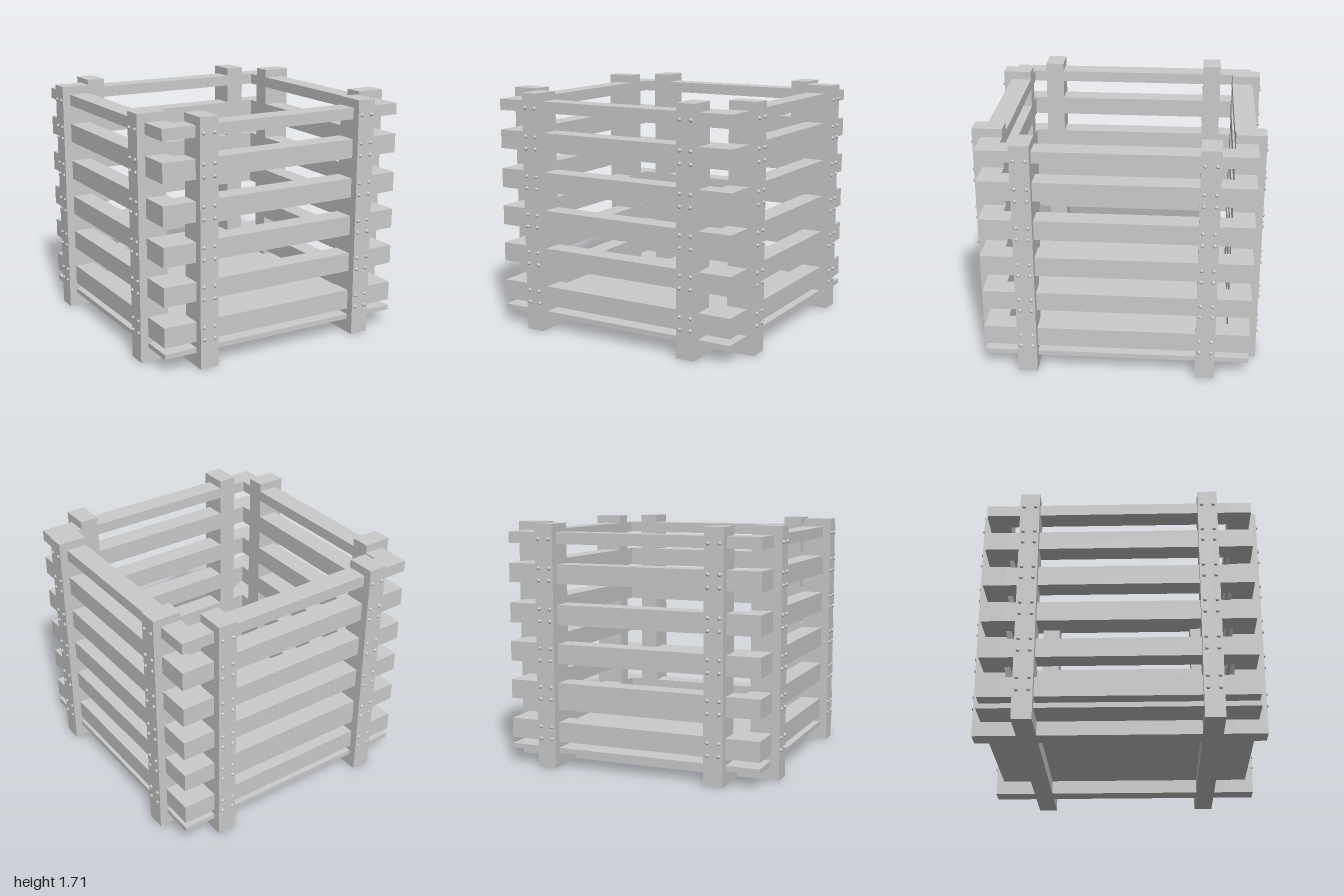
import * as THREE from 'three';

const material = new THREE.MeshStandardMaterial({ color: 0xcccccc });

// Box given by its minimum and maximum corners
function box(parent, name, [x0, y0, z0], [x1, y1, z1]) {
  const mesh = new THREE.Mesh(new THREE.BoxGeometry(x1 - x0, y1 - y0, z1 - z0), material);
  mesh.position.set((x0 + x1) / 2, (y0 + y1) / 2, (z0 + z1) / 2);
  mesh.name = name;
  parent.add(mesh);
  return mesh;
}

export function createModel() {
  const crate = new THREE.Group();
  crate.name = 'slattedCrate';

  const inner = 0.78, outer = 0.93, face = 0.987, height = 1.71;
  const postX = 0.622, postHalf = 0.068;
  // Bottom and top of each course of slats
  const courses = [[0.18, 0.32], [0.465, 0.6], [0.735, 0.875], [1.01, 1.15], [1.295, 1.43], [1.57, 1.65]];

  // Floor panel
  box(crate, 'floor', [-outer, 0.1, -outer], [outer, 0.135, outer]);

  // Crossed runners under the floor
  for (const s of [-1, 1]) {
    const a = s * postX - postHalf, b = s * postX + postHalf;
    box(crate, 'runnerAlongX', [-inner, 0, a], [inner, 0.1, b]);
    box(crate, 'runnerAlongZ', [a, 0, -inner], [b, 0.1, inner]);
  }

  // Rings of slats
  for (const [y0, y1] of courses) {
    for (const s of [-1, 1]) {
      const a = s > 0 ? inner : -outer, b = s > 0 ? outer : -inner;
      box(crate, 'slatAlongX', [-outer, y0, a], [outer, y1, b]);
      box(crate, 'slatAlongZ', [a, y0, -inner], [b, y1, inner]);
    }
  }

  // Lower strip between the back posts
  box(crate, 'backStrip', [-postX, 0.41, -outer], [postX, 0.465, -inner]);

  // Two posts with domed bolts on each of the four sides
  const boltGeometry = new THREE.SphereGeometry(0.014, 10, 4, 0, Math.PI * 2, 0, Math.PI / 2);
  boltGeometry.rotateX(Math.PI / 2);
  for (let side = 0; side < 4; side++) {
    const wall = new THREE.Group();
    wall.name = 'postPair';
    for (const s of [-1, 1]) {
      const x = s * postX;
      box(wall, 'post', [x - postHalf, 0, inner], [x + postHalf, height, face]);
      for (const [y0, y1] of courses) {
        const mid = (y0 + y1) / 2;
        const rows = y1 - y0 > 0.1 ? [mid - 0.043, mid + 0.043] : [mid - 0.005];
        for (const y of rows) for (const dx of [-0.041, 0.041]) {
          const bolt = new THREE.Mesh(boltGeometry, material);
          bolt.name = 'bolt';
          bolt.position.set(x + dx, y, face - 0.001);
          wall.add(bolt);
        }
      }
    }
    wall.rotation.y = side * Math.PI / 2;
    crate.add(wall);
  }
  return crate;
}
